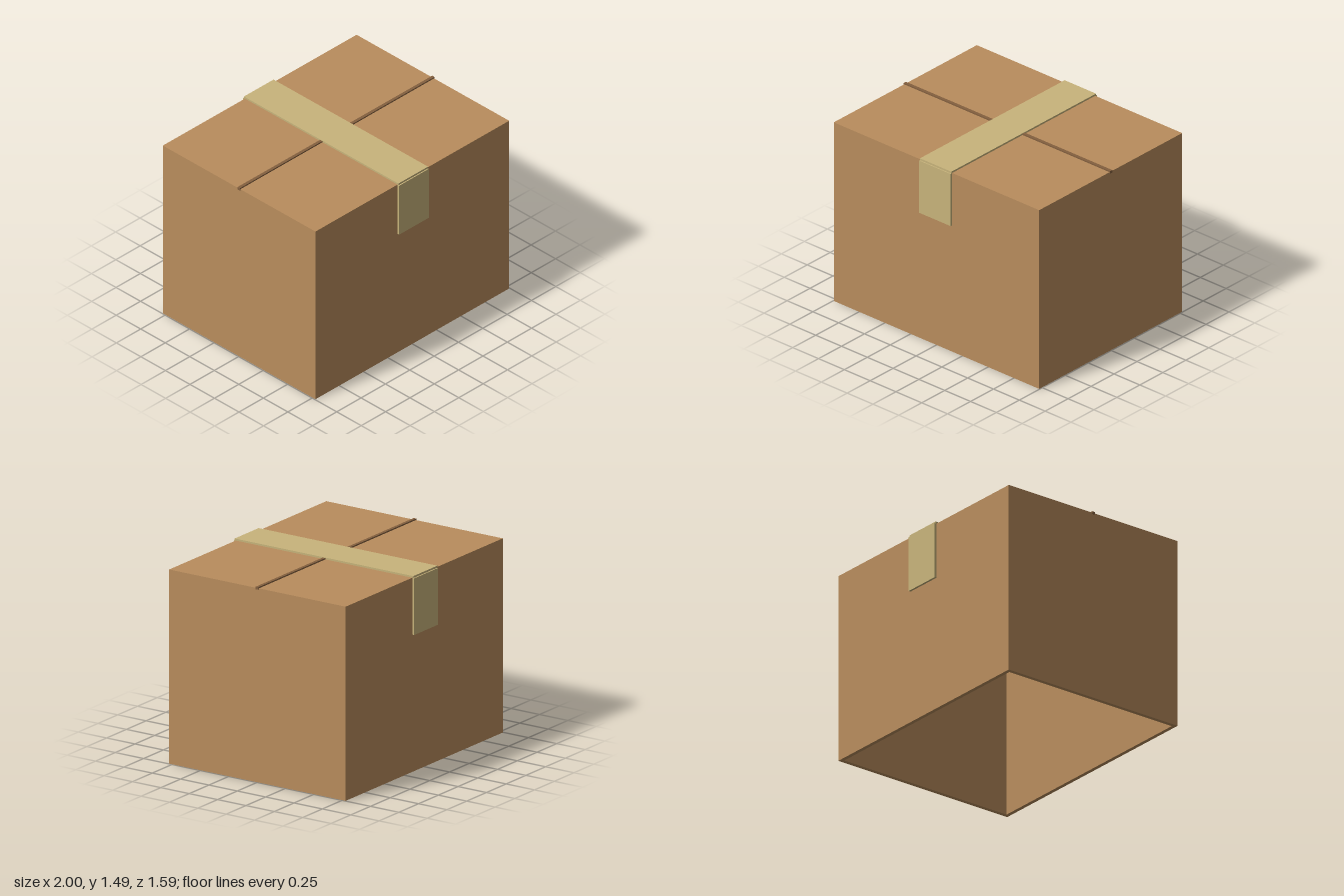
import * as THREE from 'three';

const W = 1.99, H = 1.474, D = 1.556; // outer size of the carton
const T = 0.03;                       // cardboard thickness

export function createModel() {
  const model = new THREE.Group();
  model.name = 'cardboardBox';

  const material = (name, color) => {
    const m = new THREE.MeshStandardMaterial({ color });
    m.name = name;
    return m;
  };
  const cardboard = material('cardboard', 0xb98d5d);
  const tape = material('packingTape', 0xc8b47b);
  const darkSeam = material('darkSeam', 0x84603f);

  const add = (name, geometry, mat, x, y, z) => {
    const mesh = new THREE.Mesh(geometry, mat);
    mesh.name = name;
    mesh.position.set(x, y, z);
    model.add(mesh);
    return mesh;
  };
  const box = (name, mat, w, h, d, x, y, z) =>
    add(name, new THREE.BoxGeometry(w, h, d), mat, x, y, z);

  const rectangle = (path, w, d) => path
    .moveTo(-w / 2, -d / 2).lineTo(w / 2, -d / 2)
    .lineTo(w / 2, d / 2).lineTo(-w / 2, d / 2).closePath();

  // Four walls as one hollow frame, open at the bottom
  const outline = new THREE.Shape();
  rectangle(outline, W, D);
  const opening = new THREE.Path();
  rectangle(opening, W - 2 * T, D - 2 * T);
  outline.holes.push(opening);
  const walls = new THREE.ExtrudeGeometry(outline, { depth: H - T, bevelEnabled: false });
  walls.rotateX(-Math.PI / 2);
  add('walls', walls, cardboard, 0, 0, 0);

  // Closed top
  box('lid', cardboard, W, T, D, 0, H - T / 2, 0);

  // Seam where the top flaps meet, running left to right
  box('flapSeam', darkSeam, 2, 0.02, 0.024, 0, H, 0);

  // Tape across the top, folded down at the front and back
  box('tapeTop', tape, 0.304, 0.015, 1.575, 0, H + 0.0065, 0);
  for (const [name, side] of [['tapeFront', 1], ['tapeBack', -1]]) {
    box(name, tape, 0.304, 0.43, 0.018, 0, 1.257, side * (D / 2 + 0.008));
  }

  return model;
}
